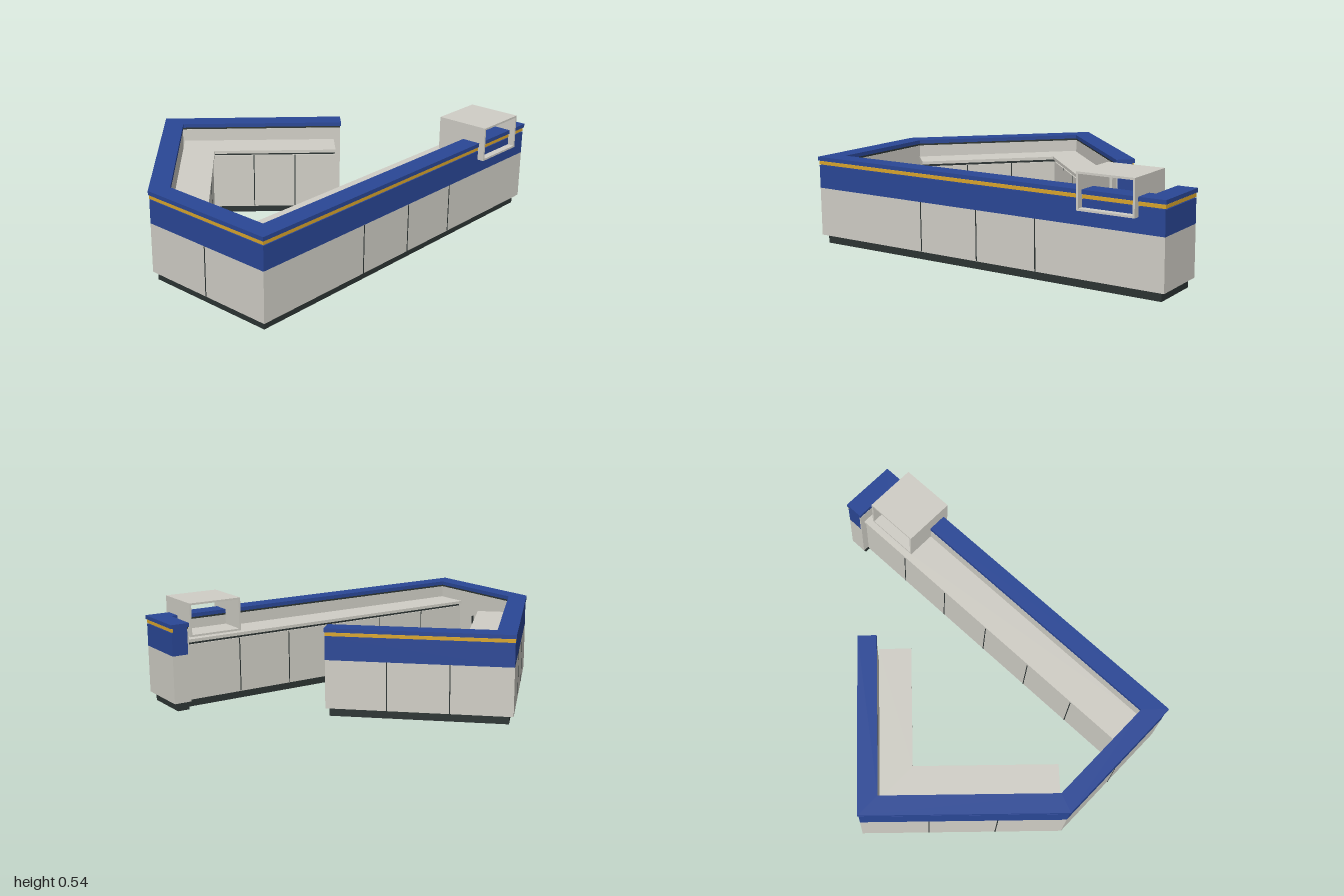
import * as THREE from 'three';

const mat = (name, color) => {
  const m = new THREE.MeshStandardMaterial({ color });
  m.name = name;
  return m;
};

// Offsets an open plan path [x, z] to its inner side by d, with mitred corners
function offset(path, d, trim = 0) {
  const dirs = path.slice(1).map((p, i) => {
    const dx = p[0] - path[i][0], dz = p[1] - path[i][1], l = Math.hypot(dx, dz);
    return [dx / l, dz / l];
  });
  return path.map(([x, z], i) => {
    const a = dirs[Math.max(i - 1, 0)], b = dirs[Math.min(i, dirs.length - 1)];
    const k = d / (1 + a[0] * b[0] + a[1] * b[1]);
    const t = i === 0 ? trim : i === path.length - 1 ? -trim : 0;
    return [x - (a[1] + b[1]) * k + b[0] * t, z + (a[0] + b[0]) * k + b[1] * t];
  });
}

export function createModel() {
  const model = new THREE.Group();
  model.name = 'kioskCounter';
  const grey = mat('panelGrey', 0xd0cec6);
  const blue = mat('deepBlue', 0x2a4796);
  const gold = mat('goldStripe', 0xd9a52c);
  const dark = mat('plinthDark', 0x2c3433);

  const add = (name, geo, material, parent = model) => {
    const mesh = new THREE.Mesh(geo, material);
    mesh.name = name;
    parent.add(mesh);
    return mesh;
  };

  // Strip that follows a path between two offsets and two heights
  const band = (name, path, d0, d1, y0, y1, material, trim = 0, parent = model) => {
    const pts = [...offset(path, d0, trim), ...offset(path, d1, trim).reverse()];
    const shape = new THREE.Shape(pts.map(([x, z]) => new THREE.Vector2(x, -z)));
    const geo = new THREE.ExtrudeGeometry(shape, { depth: y1 - y0, bevelEnabled: false });
    geo.rotateX(-Math.PI / 2).translate(0, y0, 0);
    return add(name, geo, material, parent);
  };

  // Thin upright joints dividing each side of a path into equal panels
  const joints = (path, d, counts, y0, y1, parent = model) => {
    const line = offset(path, d);
    counts.forEach((n, s) => {
      const [a, b] = [line[s], line[s + 1]];
      for (let i = 1; i < n; i++) {
        const t = i / n;
        const joint = add('panelJoint', new THREE.BoxGeometry(0.005, y1 - y0, 0.003), dark, parent);
        joint.position.set(a[0] + (b[0] - a[0]) * t, (y0 + y1) / 2, a[1] + (b[1] - a[1]) * t);
        joint.rotation.y = -Math.atan2(b[1] - a[1], b[0] - a[0]);
      }
    });
  };

  // Outer wall, from the front stub round to the open back end
  const wall = [[1, 0.415], [1, 0.725], [-1, 0.725], [-1, -0.02], [-0.26, -0.755], [0.415, -0.085]];
  band('wallPlinth', wall, 0.028, 0.092, 0, 0.045, dark, 0.02);
  band('wallPanels', wall, 0.005, 0.097, 0.045, 0.295, grey, 0.004);
  band('wallBlueBand', wall, 0.005, 0.09, 0.295, 0.414, blue, 0.004);
  band('wallBlueCore', wall, 0.012, 0.09, 0.414, 0.438, blue, 0.004);
  band('goldStripe', wall, 0.005, 0.012, 0.418, 0.435, gold, 0.004);
  band('wallInnerLining', wall, 0.09, 0.097, 0.295, 0.428, grey, 0.004);
  band('innerShadowGap', wall, 0.09, 0.096, 0.428, 0.438, dark, 0.004);
  band('wallCap', wall, 0, 0.1, 0.438, 0.458, blue);
  joints(wall, 0.005, [1, 6, 2, 3, 3].map((n) => (n === 6 ? 1 : n)), 0.047, 0.295);
  for (const x of [-0.333, 0, 0.333]) {
    add('panelJoint', new THREE.BoxGeometry(0.005, 0.248, 0.003), dark).position.set(x, 0.171, 0.72);
  }

  // Worktops with cupboards inside the wall
  const worktop = (name, path, depth, counts) => {
    const g = new THREE.Group();
    g.name = name;
    model.add(g);
    band('cupboardPlinth', path, 0, depth - 0.04, 0, 0.045, dark, 0.012, g);
    band('cupboardBack', path, 0, depth - 0.025, 0.045, 0.35, grey, 0.002, g);
    band('cupboardDoors', path, depth - 0.025, depth - 0.01, 0.045, 0.336, grey, 0.002, g);
    band('gripGap', path, depth - 0.025, depth - 0.018, 0.336, 0.35, dark, 0.002, g);
    band('worktopSlab', path, 0, depth, 0.35, 0.366, grey, 0, g);
    joints(path, depth - 0.01, counts, 0.047, 0.336, g);
  };
  worktop('frontWorktop', [[0.898, 0.627], [-0.9, 0.627]], 0.187, [6]);
  worktop('backWorktop', [[-0.9, 0.03], [-0.26, -0.606], [0.31, -0.036]], 0.168, [3, 3]);

  // Access door in the side wall, with its handle
  add('doorJoint', new THREE.BoxGeometry(0.003, 0.248, 0.005), dark).position.set(-0.903, 0.171, 0.33);
  add('doorHandle', new THREE.BoxGeometry(0.012, 0.045, 0.006), dark).position.set(-0.898, 0.27, 0.332);

  // Display box, open at front and back
  const frame = new THREE.Shape([[-0.146, 0], [0.146, 0], [0.146, 0.176], [-0.146, 0.176]].map((p) => new THREE.Vector2(...p)));
  frame.holes.push(new THREE.Path([[-0.136, 0.01], [-0.136, 0.166], [0.136, 0.166], [0.136, 0.01]].map((p) => new THREE.Vector2(...p))));
  add('displayBox', new THREE.ExtrudeGeometry(frame, { depth: 0.28, bevelEnabled: false }), grey).position.set(0.72, 0.368, 0.475);

  return model;
}
